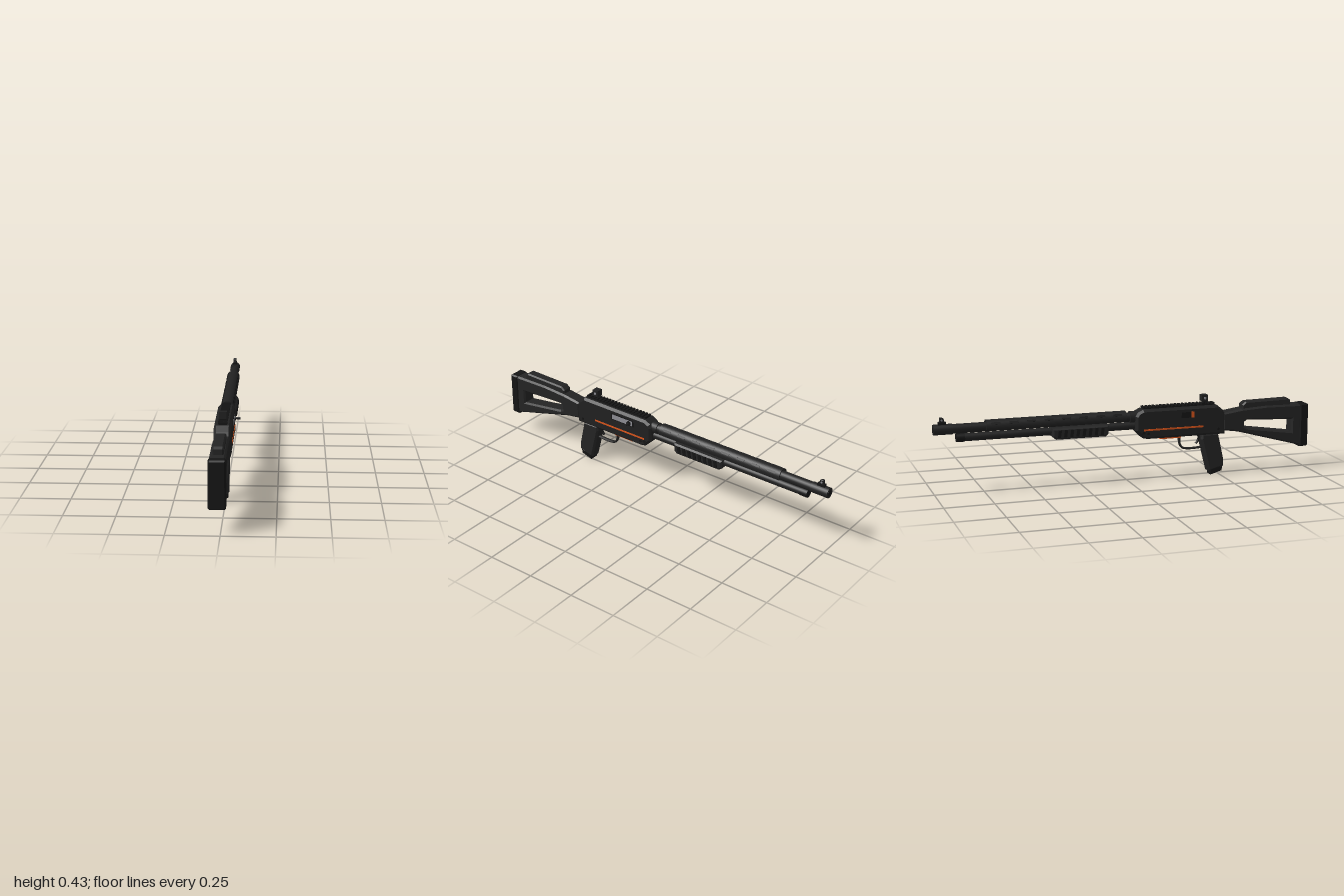
import * as THREE from 'three';

const mat = (name, color) => {
  const m = new THREE.MeshStandardMaterial({ color });
  m.name = name;
  return m;
};

export function createModel() {
  const body = mat('bodyBlack', 0x212121);
  const polymer = mat('polymerBlack', 0x242424);
  const dark = mat('darkBlack', 0x151515);
  const steel = mat('steelGrey', 0x8c8c92);
  const orange = mat('accentOrange', 0xd9541a);

  const root = new THREE.Group();
  root.name = 'longGun';
  const gun = new THREE.Group();
  gun.name = 'gunAssembly';
  gun.position.x = -0.015;
  root.add(gun);

  const add = (name, geo, material, x = 0, y = 0, z = 0) => {
    const m = new THREE.Mesh(geo, material);
    m.name = name;
    m.position.set(x, y, z);
    gun.add(m);
    return m;
  };
  const box = (name, w, h, d, material, x, y, z) =>
    add(name, new THREE.BoxGeometry(w, h, d), material, x, y, z);
  // cylinder along z, from z0 to z1
  const rod = (name, r, z0, z1, y, material, sides = 24) =>
    add(name, new THREE.CylinderGeometry(r, r, Math.abs(z1 - z0), sides).rotateX(Math.PI / 2),
      material, 0, y, (z0 + z1) / 2);
  // cylinder along x
  const pin = (name, r, len, material, x, y, z, sides = 16) =>
    add(name, new THREE.CylinderGeometry(r, r, len, sides).rotateZ(Math.PI / 2), material, x, y, z);
  const pts = (list) => list.map(([a, b]) => new THREE.Vector2(a, b));
  // side profile in (z, y), extruded symmetrically across x with a chamfer
  const slab = (name, profile, half, bevel, material, hole) => {
    const shape = new THREE.Shape(pts(profile));
    if (hole) shape.holes.push(new THREE.Path(pts(hole)));
    const depth = 2 * (half - bevel);
    const geo = new THREE.ExtrudeGeometry(shape, {
      depth, bevelEnabled: bevel > 0, bevelSize: bevel, bevelThickness: bevel,
      bevelOffset: -bevel, bevelSegments: 1,
    });
    geo.translate(0, 0, -depth / 2).rotateY(-Math.PI / 2);
    return add(name, geo, material);
  };

  // Receiver
  slab('receiver', [[0.525, 0.22], [0.525, 0.325], [0.51, 0.35], [0.48, 0.375], [0.075, 0.375],
    [0.045, 0.36], [0.035, 0.34], [0.035, 0.265], [0.075, 0.225], [0.1, 0.22]], 0.042, 0.012, body);

  // Top rail with teeth
  box('railBase', 0.04, 0.01, 0.39, dark, 0, 0.376, 0.275);
  for (let i = 0; i < 20; i++) box('railTooth', 0.044, 0.009, 0.011, dark, 0, 0.383, 0.465 - i * 0.02);

  // Rear sight
  box('rearSightBase', 0.03, 0.02, 0.02, dark, 0, 0.388, 0.42);
  box('rearSight', 0.036, 0.034, 0.034, body, 0, 0.412, 0.418);
  pin('rearSightScrew', 0.007, 0.038, steel, 0, 0.412, 0.418);

  // Side stripes, pins, ejection port, bolt handle, safety
  for (const s of [-1, 1]) {
    box('accentStripe', 0.004, 0.009, 0.325, orange, s * 0.042, 0.269, 0.238);
    pin('receiverPin', 0.007, 0.004, dark, s * 0.043, 0.25, 0.485);
    pin('receiverPin', 0.007, 0.004, dark, s * 0.043, 0.25, 0.1);
  }
  box('ejectionPortFrame', 0.004, 0.036, 0.145, dark, 0.0415, 0.332, 0.218);
  box('ejectionPortBolt', 0.004, 0.026, 0.13, steel, 0.0428, 0.332, 0.218);
  pin('boltHandleBase', 0.012, 0.012, dark, 0.046, 0.331, 0.172);
  pin('boltHandle', 0.006, 0.032, body, 0.059, 0.331, 0.172);
  box('safetyPlate', 0.006, 0.03, 0.05, dark, -0.042, 0.335, 0.305);
  box('safetyMark', 0.004, 0.03, 0.016, orange, -0.0425, 0.335, 0.342);

  // Loading gate under the receiver
  box('loadingGate', 0.045, 0.01, 0.115, orange, 0, 0.217, 0.228);

  // Stock with a through cut-out, cheek rest and butt pad
  slab('stock', [[0.96, 0.127], [0.96, 0.35], [0.76, 0.353], [0.62, 0.345], [0.515, 0.33],
    [0.515, 0.238], [0.6, 0.225]], 0.038, 0.009, polymer,
  [[0.905, 0.205], [0.905, 0.272], [0.65, 0.285], [0.635, 0.275], [0.635, 0.25], [0.65, 0.242]]);
  slab('cheekRest', [[0.9, 0.34], [0.9, 0.375], [0.885, 0.385], [0.645, 0.381], [0.625, 0.365],
    [0.625, 0.34]], 0.027, 0.007, polymer);
  slab('buttPad', [[1, 0.128], [1, 0.345], [0.992, 0.352], [0.952, 0.352], [0.952, 0.122],
    [0.992, 0.122]], 0.041, 0.007, dark);

  // Pistol grip with base cap
  slab('pistolGrip', [[0.49, 0.225], [0.4, 0.225], [0.396, 0.195], [0.44, 0.022], [0.523, 0.045],
    [0.522, 0.085]], 0.032, 0.009, polymer);
  slab('gripCap', [[0.516, 0.05], [0.446, 0.035], [0.452, 0.002], [0.516, 0.021]], 0.027, 0.005, dark);

  // Trigger and guard
  const guardPath = new THREE.CatmullRomCurve3([[0.415, 0.15], [0.33, 0.148], [0.3, 0.155],
    [0.285, 0.178], [0.283, 0.225]].map(([z, y]) => new THREE.Vector3(0, y, z)), false, 'centripetal');
  const guard = add('triggerGuard', new THREE.TubeGeometry(guardPath, 24, 0.006, 8), body);
  guard.scale.x = 1.8;
  const triggerPath = new THREE.QuadraticBezierCurve3(new THREE.Vector3(0, 0.225, 0.385),
    new THREE.Vector3(0, 0.195, 0.4), new THREE.Vector3(0, 0.17, 0.375));
  add('trigger', new THREE.TubeGeometry(triggerPath, 10, 0.006, 8), dark);

  // Barrel, muzzle and magazine tube
  rod('barrel', 0.024, 0.05, -0.98, 0.335, body);
  rod('muzzle', 0.0265, -0.905, -1, 0.335, body);
  rod('bore', 0.014, -0.995, -1.0005, 0.335, dark);
  rod('barrelCollar', 0.03, 0.045, 0.01, 0.335, body);
  rod('magazineTube', 0.02, 0.05, -0.87, 0.289, body);
  rod('magazineCap', 0.022, -0.845, -0.887, 0.289, dark);

  // Heat shield wrapped over the top of the barrel, with vent slots
  const a0 = -0.38, a1 = Math.PI + 0.38;
  const arc = new THREE.Shape();
  arc.absarc(0, 0, 0.035, a0, a1, false);
  arc.absarc(0, 0, 0.028, a1, a0, true);
  add('heatShield', new THREE.ExtrudeGeometry(arc, { depth: 0.725, bevelEnabled: false, curveSegments: 24 }),
    body, 0, 0.335, -0.738);
  for (let i = 0; i < 8; i++) {
    for (const s of [-1, 1]) {
      const slot = box('ventSlot', 0.004, 0.011, 0.045, dark, s * 0.0283, 0.335 + 0.0195, -0.06 - i * 0.09);
      slot.rotation.z = s * 0.6;
    }
  }

  // Front sight
  box('frontSightBase', 0.02, 0.016, 0.04, dark, 0, 0.364, -0.955);
  slab('frontSight', [[-0.942, 0.362], [-0.946, 0.388], [-0.952, 0.394], [-0.966, 0.394],
    [-0.97, 0.362]], 0.008, 0.002, body);
  pin('frontSightScrew', 0.005, 0.018, steel, 0, 0.382, -0.957);

  // Pump fore-end with grip ribs
  slab('foreEnd', [[-0.11, 0.262], [-0.11, 0.307], [-0.405, 0.307], [-0.405, 0.265], [-0.385, 0.25],
    [-0.125, 0.25]], 0.038, 0.008, polymer);
  for (let i = 0; i < 8; i++) {
    for (const s of [-1, 1]) {
      const rib = box('foreEndRib', 0.01, 0.038, 0.016, dark, s * 0.039, 0.28, -0.145 - i * 0.032);
      rib.rotation.x = 0.15;
    }
  }
  for (const s of [-1, 1]) pin('slingPin', 0.008, 0.006, dark, s * 0.042, 0.255, 0.075);
  return root;
}
